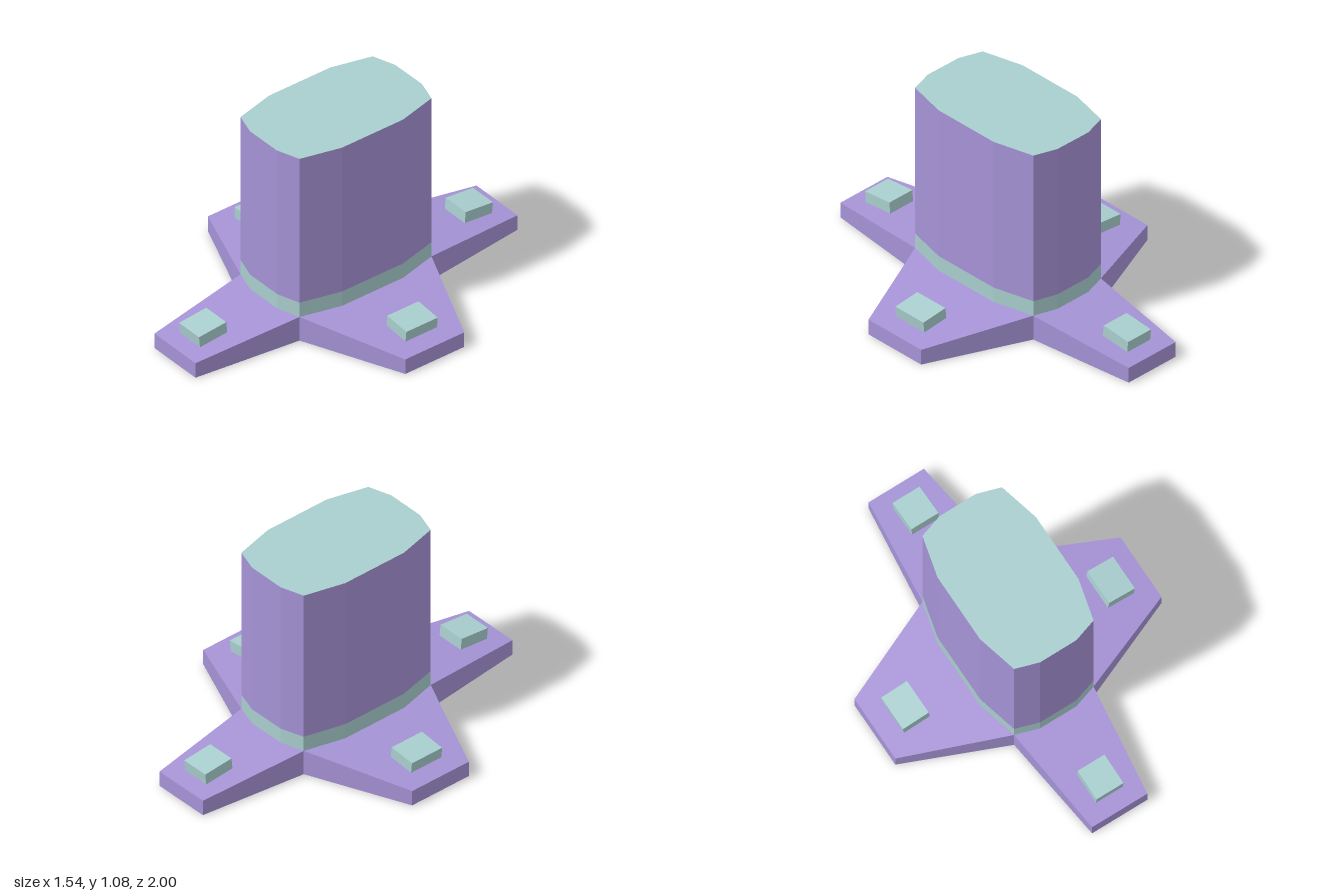
import * as THREE from 'three';

const purple = new THREE.MeshStandardMaterial({ color: 0xa693d6, flatShading: true });
const teal = new THREE.MeshStandardMaterial({ color: 0xa9cece, flatShading: true });

const CORE = { x: 0.23, z: 0.41, top: 0.14 };

function add(parent, name, geometry, material) {
  const mesh = new THREE.Mesh(geometry, material);
  mesh.name = name;
  parent.add(mesh);
  return mesh;
}

// Twelve-sided plan of the tower, mirrored from one quarter
function towerShape() {
  const quarter = [[0.285, 0.19], [CORE.x, CORE.z], [0.105, 0.45]];
  const half = [...quarter, ...quarter.map(([x, y]) => [-x, y]).reverse()];
  const points = [...half, ...half.map(([x, y]) => [-x, -y])];
  return new THREE.Shape(points.map(([x, y]) => new THREE.Vector2(x, y)));
}

function prism(bottom, top) {
  return new THREE.ExtrudeGeometry(towerShape(), { depth: top - bottom, bevelEnabled: false })
    .rotateX(-Math.PI / 2)
    .translate(0, bottom, 0);
}

// Wedge along +z that narrows and drops towards its outer end
function armGeometry(inner, outer) {
  const geometry = new THREE.BoxGeometry(2, 1, 1);
  const pos = geometry.attributes.position;
  for (let i = 0; i < pos.count; i++) {
    const end = pos.getZ(i) > 0 ? outer : inner;
    pos.setXYZ(i, pos.getX(i) * end.half, pos.getY(i) > 0 ? end.height : 0, end.z);
  }
  geometry.computeVertexNormals();
  return geometry;
}

// One leg of the foot with its tilted pad
function makeArm(name, angle, inner, outer, pad) {
  const arm = new THREE.Group();
  arm.name = name;
  add(arm, name + 'Wedge', armGeometry(inner, outer), purple);
  const block = add(arm, name + 'Pad', new THREE.BoxGeometry(pad.width, 0.065, pad.length), teal);
  block.position.set(0, 0.132, pad.z);
  block.rotation.x = Math.atan2(inner.height - outer.height, outer.z - inner.z);
  arm.rotation.y = angle;
  return arm;
}

export function createModel() {
  const model = new THREE.Group();
  model.name = 'towerOnCrossFoot';

  // Central block between the four legs
  add(model, 'core', new THREE.BoxGeometry(CORE.x * 2, CORE.top, CORE.z * 2), teal)
    .position.y = CORE.top / 2;

  // Collar and tower; the tower's top slopes very slightly sideways
  add(model, 'collar', prism(CORE.top, 0.225), teal);
  const tower = prism(0.225, 1.078);
  const pos = tower.attributes.position;
  for (let i = 0; i < pos.count; i++) {
    if (pos.getY(i) > 1) pos.setY(i, 1.078 + pos.getX(i) * 0.01);
  }
  tower.computeVertexNormals();
  add(model, 'tower', tower, [teal, purple]);

  // Long legs front and back, wide legs left and right
  const long = [
    { half: CORE.x, height: CORE.top, z: CORE.z },
    { half: 0.16, height: 0.086, z: 1 },
    { width: 0.156, length: 0.17, z: 0.825 },
  ];
  const wide = [
    { half: CORE.z, height: CORE.top, z: CORE.x },
    { half: 0.183, height: 0.086, z: 0.77 },
    { width: 0.195, length: 0.15, z: 0.593 },
  ];
  ['frontLeg', 'leftLeg', 'backLeg', 'rightLeg'].forEach((name, i) => {
    model.add(makeArm(name, (i * Math.PI) / 2, ...(i % 2 ? wide : long)));
  });

  return model;
}
